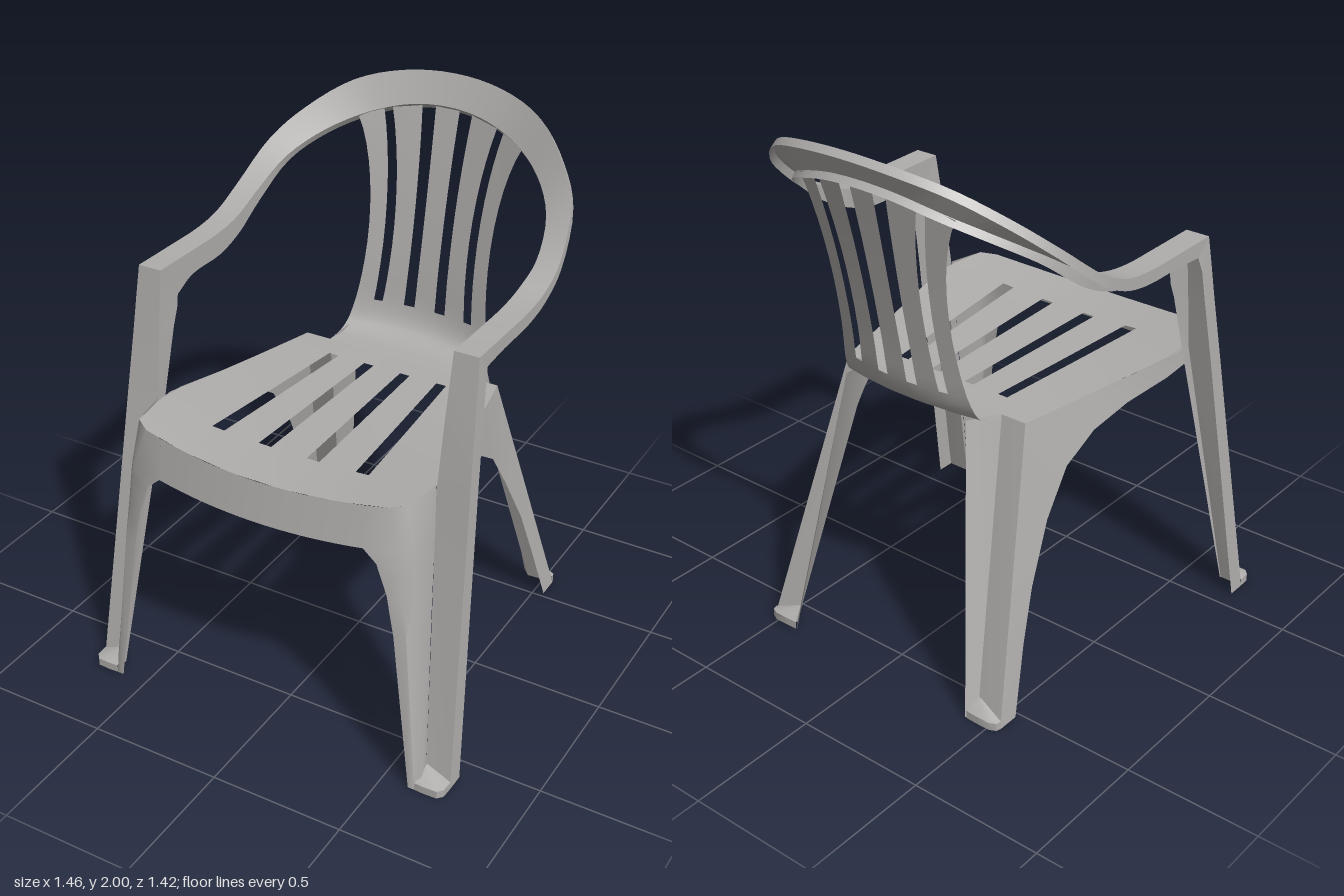
import * as THREE from 'three';
import { toCreasedNormals } from 'three/addons/utils/BufferGeometryUtils.js';

const plastic = new THREE.MeshStandardMaterial({ color: 0xb0aeac, side: THREE.DoubleSide });
plastic.name = 'warm grey plastic';

// Moulded skin through rows of [x, y, z]; open(row, column) leaves a slot
function skin(name, rows, crease = 0.6, open = () => false) {
  const n = rows[0].length, index = [];
  for (let r = 0; r < rows.length - 1; r++)
    for (let c = 0; c < n - 1; c++) {
      if (open(r, c)) continue;
      const a = r * n + c, b = a + n;
      index.push(a, a + 1, b, b, a + 1, b + 1);
    }
  const g = new THREE.BufferGeometry();
  g.setAttribute('position', new THREE.Float32BufferAttribute(rows.flat(2), 3));
  g.setIndex(index);
  const mesh = new THREE.Mesh(toCreasedNormals(g, crease), plastic);
  mesh.name = name;
  return mesh;
}

const mirror = (rows, s) => rows.map(row => row.map(([x, y, z]) => [x * s, y, z]));
const lerp = (a, b, t) => a.map((v, i) => v + (b[i] - v) * t);
const curve = points => new THREE.CatmullRomCurve3(points.map(p => new THREE.Vector3(...p)));

// Channel section: outer lip, outer edge, inner edge, inner lip
const channel = (o, i, [oy, oz], [iy, iz]) => [
  [o[0], o[1] + oy, o[2] + oz], o, i, [i[0], i[1] + iy, i[2] + iz]];

// Row across the chair: five half-widths mirrored, five slats and four gaps
const slatRow = (widths, y, z, rise, bow) =>
  [...widths.map(v => -v).reverse(), ...widths].map(x => [x, y + rise * x * x, z + bow * x * x]);

const seatHeight = x => 1.035 + 0.13 * x * x;

// Dished seat with four slots that fan towards the front
function seat() {
  const outline = [[0.68, 0.47], [0.60, 0.525], [0.475, 0.545], [0.38, 0.552],
    [0.10, 0.487], [-0.20, 0.422], [-0.30, 0.40]];
  const rows = outline.map(([z, edge], i) => {
    const widths = [0.06, 0.102, 0.221, 0.263].map(w => w * (1 + 0.37 * z));
    const front = THREE.MathUtils.clamp((z + 0.3) / 0.9, 0, 1);
    return slatRow([...widths, edge], 1.02 + 0.015 * front, z, 0.13 * front, i === 0 ? -0.2 : 0);
  });
  return skin('seat', rows, 0.8, (r, c) => c % 2 === 1 && r >= 2 && r < 5);
}

// Back curving up out of the seat, with waisted slats; profile is [z, y, bow]
function back() {
  const profile = curve([[-0.30, 1.02, 0], [-0.41, 1.03, 0.25], [-0.478, 1.10, 0.5],
    [-0.512, 1.28, 0.5], [-0.575, 1.60, 0.55], [-0.637, 1.885, 0.65]]);
  const waist = [0.04, 0.08, 0.155, 0.19, 0.25], flare = [0.008, 0.02, 0.055, 0.05, 0.08];
  const rows = [];
  for (let i = 0; i <= 20; i++) {
    const { x: z, y, z: bow } = profile.getPoint(i / 20);
    const t = (y - 1.4) / 0.485;
    const widths = waist.map((w, k) => w + flare[k] * t * t);
    rows.push(slatRow(widths, y, z, -0.6 * Math.max(t, 0) ** 2, bow));
  }
  return skin('back', rows, 0.8, (r, c) => c % 2 === 1 && r >= 9);
}

// Shared section where the armrest turns down into the front post
const armCorner = channel([0.65, 1.535, 0.38], [0.56, 1.535, 0.38], [-0.06, -0.06], [-0.13, -0.09]);

// Armrests and top rail as one channel running round the back
function armHoop() {
  const section = ([ox, oy, oz, ix, iy, iz]) => {
    const k = THREE.MathUtils.smoothstep(oz, -0.45, 0.1);
    return channel([ox, oy, oz], [ix, iy, iz],
      [-0.02 - 0.03 * k, -0.024 * (1 - k)], [-0.02 - 0.07 * k, -0.02 * (1 - k)]);
  };
  const half = [armCorner, ...[
    [0.65, 1.532, 0.2, 0.56, 1.532, 0.2],
    [0.65, 1.532, 0.02, 0.56, 1.532, 0.02],
    [0.65, 1.55, -0.1, 0.56, 1.55, -0.1],
    [0.645, 1.605, -0.22, 0.56, 1.595, -0.22],
    [0.6, 1.74, -0.39, 0.52, 1.69, -0.37],
    [0.51, 1.84, -0.5, 0.425, 1.77, -0.49],
    [0.37, 1.935, -0.605, 0.29, 1.835, -0.58],
    [0.2, 1.983, -0.665, 0.14, 1.878, -0.623],
  ].map(section)];
  const middle = section([0, 2, -0.685, 0, 1.89, -0.635]);
  const stations = [...half, middle, ...mirror(half, -1).reverse()];
  const rails = armCorner.map((_, c) => curve(stations.map(row => row[c])));
  const rows = Array.from({ length: 73 }, (_, i) => rails.map(k => k.getPoint(i / 72).toArray()));
  return skin('armHoop', rows);
}

// Sloped toe closing the groove at the bottom of a leg
function foot(name, apex, rim, s) {
  const rows = [rim.map(() => apex), ...[0.03, 0].map(y => rim.map(([x, z]) => [x, y, z]))];
  return skin(name, mirror(rows, s));
}

// Front leg: armrest post, inner panel below the seat, and foot
function frontLeg(s) {
  const leg = new THREE.Group();
  leg.name = s > 0 ? 'leftFrontLeg' : 'rightFrontLeg';
  const post = [
    armCorner,
    channel([0.656, 1.42, 0.4], [0.558, 1.42, 0.4], [0, -0.06], [-0.06, -0.1]),
    channel([0.662, 1.3, 0.42], [0.555, 1.3, 0.42], [0, -0.06], [0, -0.09]),
    channel([0.675, 1.05, 0.465], [0.55, 1.05, 0.455], [0, -0.06], [0, -0.04]),
    channel([0.73, 0, 0.648], [0.637, 0, 0.648], [0, -0.07], [0, -0.005]),
  ];
  leg.add(skin('frontPost', mirror(post, s)));

  // Height, then x and z from the groove round to the inner edge
  const panel = [
    [0, 0.637, 0.648, 0.642, 0.69, 0.625, 0.71, 0.6, 0.71],
    [0.6, 0.587, 0.54, 0.585, 0.64, 0.565, 0.675, 0.52, 0.68],
    [0.75, 0.575, 0.512, 0.57, 0.63, 0.54, 0.665, 0.49, 0.674],
    [0.86, 0.566, 0.49, 0.56, 0.62, 0.53, 0.655, 0.45, 0.672],
    [0.905, 0.562, 0.481, 0.555, 0.615, 0.525, 0.65, 0.4, 0.673],
    [1.06, 0.55, 0.455, 0.525, 0.6, 0.47, 0.636, 0.4, 0.648],
  ].map(([y, ...p]) => [0, 2, 4, 6].map(i => [p[i], y > 1 ? seatHeight(p[i]) : y, p[i + 1]]));
  leg.add(skin('frontLegPanel', mirror(panel, s), 0.9));

  leg.add(foot('frontFoot', [0.635, 0.065, 0.637],
    [[0.73, 0.645], [0.728, 0.69], [0.71, 0.71], [0.66, 0.712], [0.625, 0.71]], s));
  return leg;
}

// Outer fold of the rear leg, from the foot up to the seat corner
const rearFold = y => lerp([0.54, 0, -0.605], [0.40, 1.02, -0.30], y / 1.02);

// Rear leg: folded panels behind the seat corner, and foot
function rearLeg(s) {
  const leg = new THREE.Group();
  leg.name = s > 0 ? 'leftRearLeg' : 'rightRearLeg';
  const panels = [
    [rearFold(1.02), [0.30, 1.02, -0.30], [0.268, 1.05, -0.45]],
    [rearFold(0), [0.435, 0, -0.598], [0.405, 0, -0.63]],
  ];
  leg.add(skin('rearLegPanels', mirror(panels, s)));
  leg.add(foot('rearFoot', [0.43, 0.07, -0.58],
    [[0.54, -0.60], [0.535, -0.62], [0.51, -0.632], [0.45, -0.632], [0.41, -0.63]], s));
  return leg;
}

// Side skirt: arched web from the front post down the rear leg
function sideSkirt(s) {
  const rows = [
    [[0.55, 1.07, 0.45], [0.553, 1.0, 0.45]],
    [[0.541, 1.06, 0.33], [0.545, 0.98, 0.33]],
    [[0.497, 1.043, 0.14], [0.51, 0.95, 0.14]],
    [[0.464, 1.036, 0], [0.482, 0.90, -0.02]],
    [[0.43, 1.026, -0.16], [0.465, 0.81, -0.15]],
    [rearFold(1.02), [0.468, 0.65, -0.26]],
    [rearFold(0.6), [0.49, 0.44, -0.37]],
    [rearFold(0.3), [0.51, 0.25, -0.44]],
    [rearFold(0), [0.54, 0, -0.52]],
  ];
  return skin(s > 0 ? 'leftSideSkirt' : 'rightSideSkirt', mirror(rows, s), 0.9);
}

// Curved lip under the front edge of the seat
function frontApron() {
  const rows = [];
  for (let i = -8; i <= 8; i++) {
    const x = i * 0.05, q = x * x;
    rows.push([[x, seatHeight(x), 0.68 - 0.2 * q], [x, 0.89 + 0.09 * q, 0.705 - 0.2 * q]]);
  }
  return skin('frontApron', rows);
}

export function createModel() {
  const chair = new THREE.Group();
  chair.name = 'gardenArmchair';
  chair.add(seat(), back(), armHoop(), frontApron());
  for (const s of [1, -1]) chair.add(frontLeg(s), rearLeg(s), sideSkirt(s));
  return chair;
}
